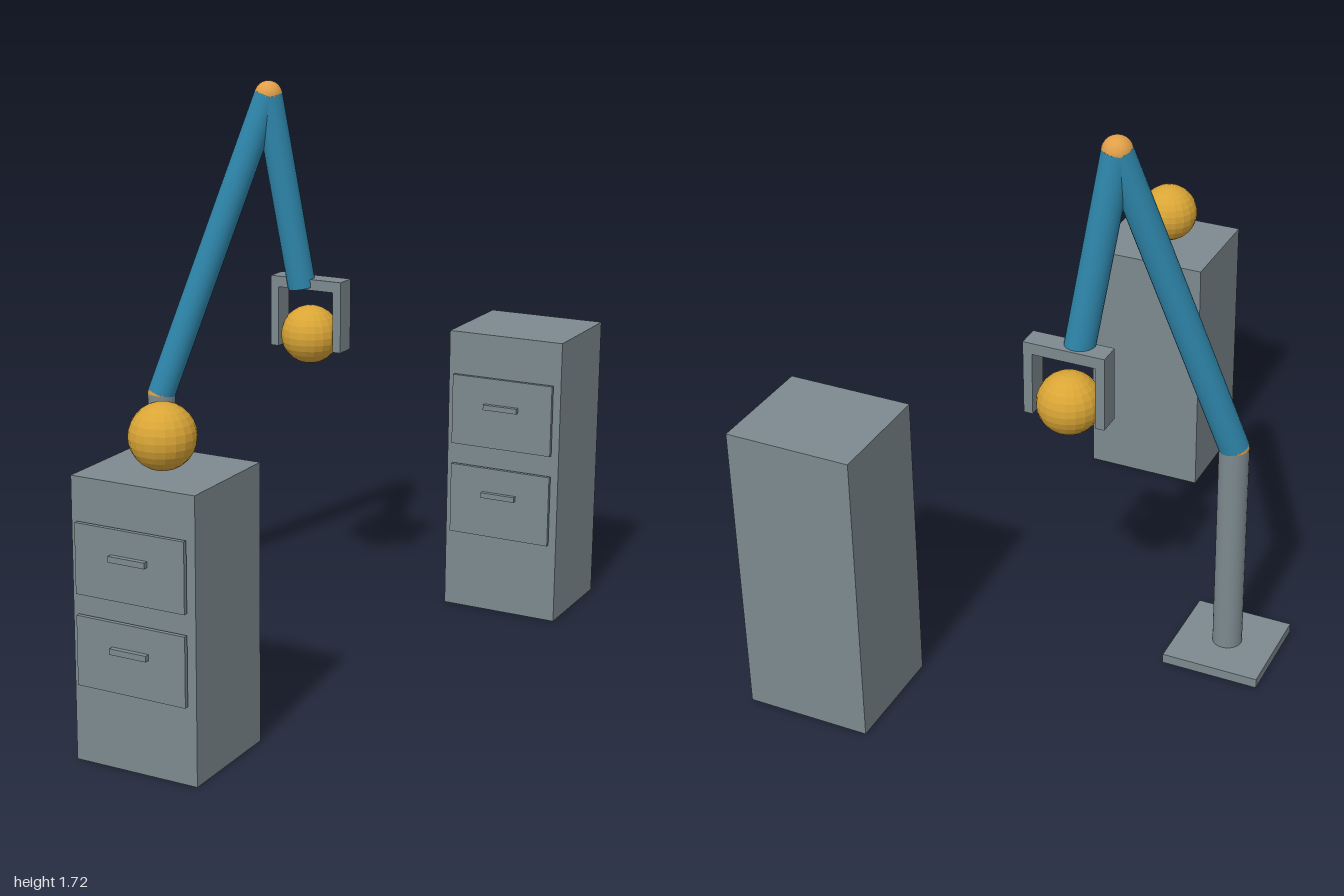
import * as THREE from 'three';

const mat = (name, color, flatShading = false) => {
  const m = new THREE.MeshStandardMaterial({ color, flatShading });
  m.name = name;
  return m;
};

export function createModel() {
  const steel = mat('steel grey', 0x7d8a8f);
  const blue = mat('arm blue', 0x2e86ab);
  const orange = mat('joint orange', 0xe09f4a);
  const gold = mat('ball gold', 0xd9a536, true);
  const model = new THREE.Group();
  model.name = 'robotArmWithCabinets';

  const add = (parent, name, geometry, material, x, y, z) => {
    const mesh = new THREE.Mesh(geometry, material);
    mesh.name = name;
    mesh.position.set(x, y, z);
    parent.add(mesh);
    return mesh;
  };
  const group = (name, x = 0, y = 0, z = 0) => {
    const g = new THREE.Group();
    g.name = name;
    g.position.set(x, y, z);
    model.add(g);
    return g;
  };
  const box = (parent, name, w, h, d, x, y, z) =>
    add(parent, name, new THREE.BoxGeometry(w, h, d), steel, x, y, z);

  // Cylinder running between two points
  const R = 0.045;
  const limb = (parent, name, a, b, material) => {
    const dir = b.clone().sub(a);
    const mid = a.clone().add(b).multiplyScalar(0.5);
    const mesh = add(parent, name, new THREE.CylinderGeometry(R, R, dir.length(), 24), material, mid.x, mid.y, mid.z);
    mesh.quaternion.setFromUnitVectors(new THREE.Vector3(0, 1, 0), dir.normalize());
  };

  // Arm: base plate, post, two limbs and their ball joints
  const arm = group('arm');
  const foot = new THREE.Vector3(-0.52, 0.03, -0.19);
  const shoulder = new THREE.Vector3(-0.52, 0.72, -0.19);
  const elbow = new THREE.Vector3(-0.226, 1.676, -0.371);
  const wrist = new THREE.Vector3(-0.134, 1.065, -0.426);
  box(arm, 'basePlate', 0.3, 0.03, 0.3, -0.52, 0.015, -0.19);
  limb(arm, 'post', foot, shoulder, steel);
  limb(arm, 'upperArm', shoulder, elbow, blue);
  limb(arm, 'forearm', elbow, wrist, blue);
  for (const [name, p] of [['shoulderJoint', shoulder], ['elbowJoint', elbow]])
    add(arm, name, new THREE.SphereGeometry(R, 20, 14), orange, p.x, p.y, p.z);

  // Gripper: crossbar with a finger on each side
  const gripper = group('gripper', -0.112, 0, -0.443);
  box(gripper, 'crossbar', 0.25, 0.035, 0.07, 0, 1.078, 0);
  for (const s of [-1, 1])
    box(gripper, s < 0 ? 'rightFinger' : 'leftFinger', 0.028, 0.194, 0.07, s * 0.111, 0.964, 0);

  // Balls: one held, one resting on the front cabinet
  const ball = new THREE.SphereGeometry(0.094, 20, 14);
  add(model, 'heldBall', ball, gold, -0.112, 0.91, -0.442);
  add(model, 'restingBall', ball, gold, 0.101, 0.91, 0.807);

  // Cabinets: body, drawer fronts standing just proud, and handles
  const cabinet = (name, x, frontZ, height, drawerH, drawers) => {
    const g = group(name, x, 0, frontZ);
    box(g, 'body', 0.383, height, 0.346, 0, height / 2, -0.173);
    for (const [drawerY, handleY] of drawers) {
      box(g, 'drawerFront', 0.339, drawerH, 0.013, 0, drawerY, 0.0145);
      box(g, 'drawerHandle', 0.114, 0.017, 0.015, 0, handleY, 0.0285);
    }
  };
  cabinet('frontCabinet', 0.101, 0.964, 0.815, 0.201, [[0.592, 0.612], [0.33, 0.352]]);
  cabinet('rearCabinet', 0.475, -0.654, 0.922, 0.229, [[0.67, 0.692], [0.372, 0.399]]);

  return model;
}
